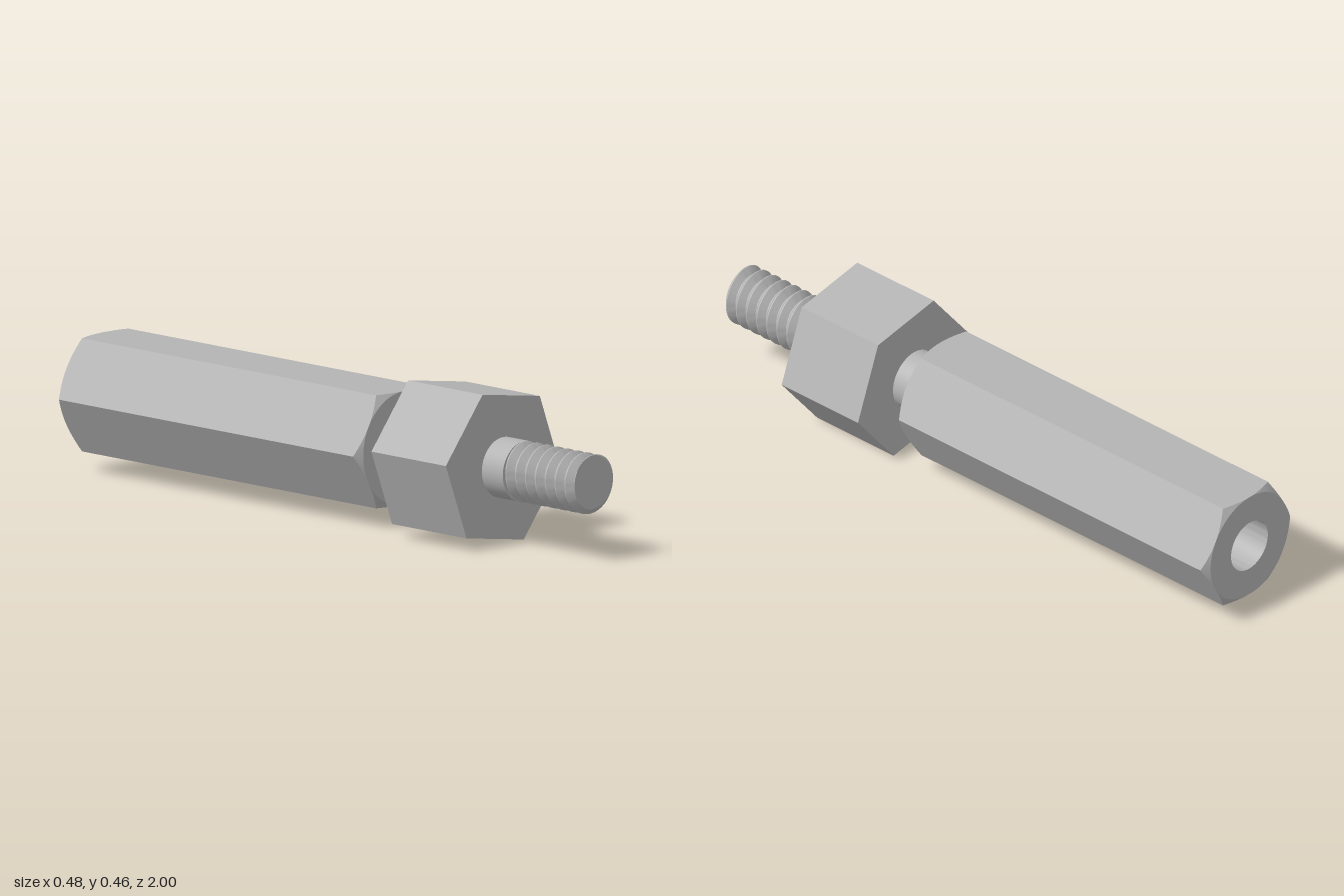
import * as THREE from 'three';
import { toCreasedNormals } from 'three/addons/utils/BufferGeometryUtils.js';

const AXIS_Y = 0.231;

// Skin between closed rings around z; each ring maps an angle to [radius, z]
function skin(rings, segments) {
  const pos = [];
  const point = (i, j) => {
    const a = (j / segments) * Math.PI * 2;
    const [r, z] = rings[i](a);
    return new THREE.Vector3(r * Math.cos(a), r * Math.sin(a), z);
  };
  const area = new THREE.Triangle();
  const add = (a, b, c) => {
    if (area.set(a, b, c).getArea() > 1e-9) for (const p of [a, b, c]) pos.push(p.x, p.y, p.z);
  };
  for (let i = 0; i < rings.length - 1; i++) {
    for (let j = 0; j < segments; j++) {
      const a = point(i, j), b = point(i, j + 1), c = point(i + 1, j + 1), d = point(i + 1, j);
      add(a, b, c);
      add(a, c, d);
    }
  }
  const g = new THREE.BufferGeometry();
  g.setAttribute('position', new THREE.Float32BufferAttribute(pos, 3));
  return toCreasedNormals(g, 0.4);
}

// Hexagonal sleeve with rounded chamfers and a blind bore at the back
function sleeveGeometry() {
  const apothem = 0.169, bore = 0.08, back = -1, front = 0.225, floor = -0.45;
  const step = Math.PI / 3;
  const hex = a => apothem / Math.cos((((a % step) + step) % step) - step / 2);
  const drop = a => (hex(a) - apothem) * 0.62;
  return skin([
    () => [0, floor],
    () => [bore, floor],
    () => [bore, back],
    () => [apothem, back],
    a => [hex(a), back + drop(a)],
    a => [hex(a), front - drop(a)],
    () => [apothem, front],
    () => [0, front],
  ], 72);
}

// Helical thread, trimmed flat at both ends
function threadGeometry() {
  const start = 0.714, end = 1, pitch = 0.04, crest = 0.09, root = 0.07;
  const z0 = end - 0.375 * pitch;
  const stops = [[0, crest], [0.1, crest], [0.5, root], [0.6, root], [1, crest]];
  const radius = f => {
    const k = stops.findIndex(s => s[0] >= f);
    if (k <= 0) return crest;
    const [f0, r0] = stops[k - 1], [f1, r1] = stops[k];
    return r0 + (r1 - r0) * (f - f0) / (f1 - f0);
  };
  const rings = [];
  for (let turn = -9; turn <= 1; turn++) {
    for (const [f] of stops.slice(0, 4)) {
      rings.push(a => {
        const shift = a / (Math.PI * 2);
        const z = THREE.MathUtils.clamp(z0 + (turn + f + shift) * pitch, start, end);
        const phase = (z - z0) / pitch - shift;
        return [radius(phase - Math.floor(phase + 1e-9)), z];
      });
    }
  }
  rings.push(() => [0, end]);
  return skin(rings, 60);
}

export function createModel() {
  const steel = new THREE.MeshStandardMaterial({ color: 0xb4b4b4 });
  steel.name = 'steel grey';
  const group = new THREE.Group();
  group.name = 'threadedStandoff';
  const add = (name, geometry, z = 0) => {
    const mesh = new THREE.Mesh(geometry, steel);
    mesh.name = name;
    mesh.position.set(0, AXIS_Y, z);
    group.add(mesh);
  };

  add('hexSleeve', sleeveGeometry());
  add('thread', threadGeometry());

  // Plain shank between sleeve and thread
  add('shank', new THREE.CylinderGeometry(0.09, 0.09, 0.495, 64).rotateX(Math.PI / 2), 0.4675);

  // Sharp-edged nut, turned slightly about the shank
  const nut = new THREE.CylinderGeometry(0.245, 0.245, 0.302, 6)
    .rotateX(Math.PI / 2)
    .rotateZ(THREE.MathUtils.degToRad(20.8));
  add('hexNut', toCreasedNormals(nut, 0.4), 0.479);

  return group;
}
